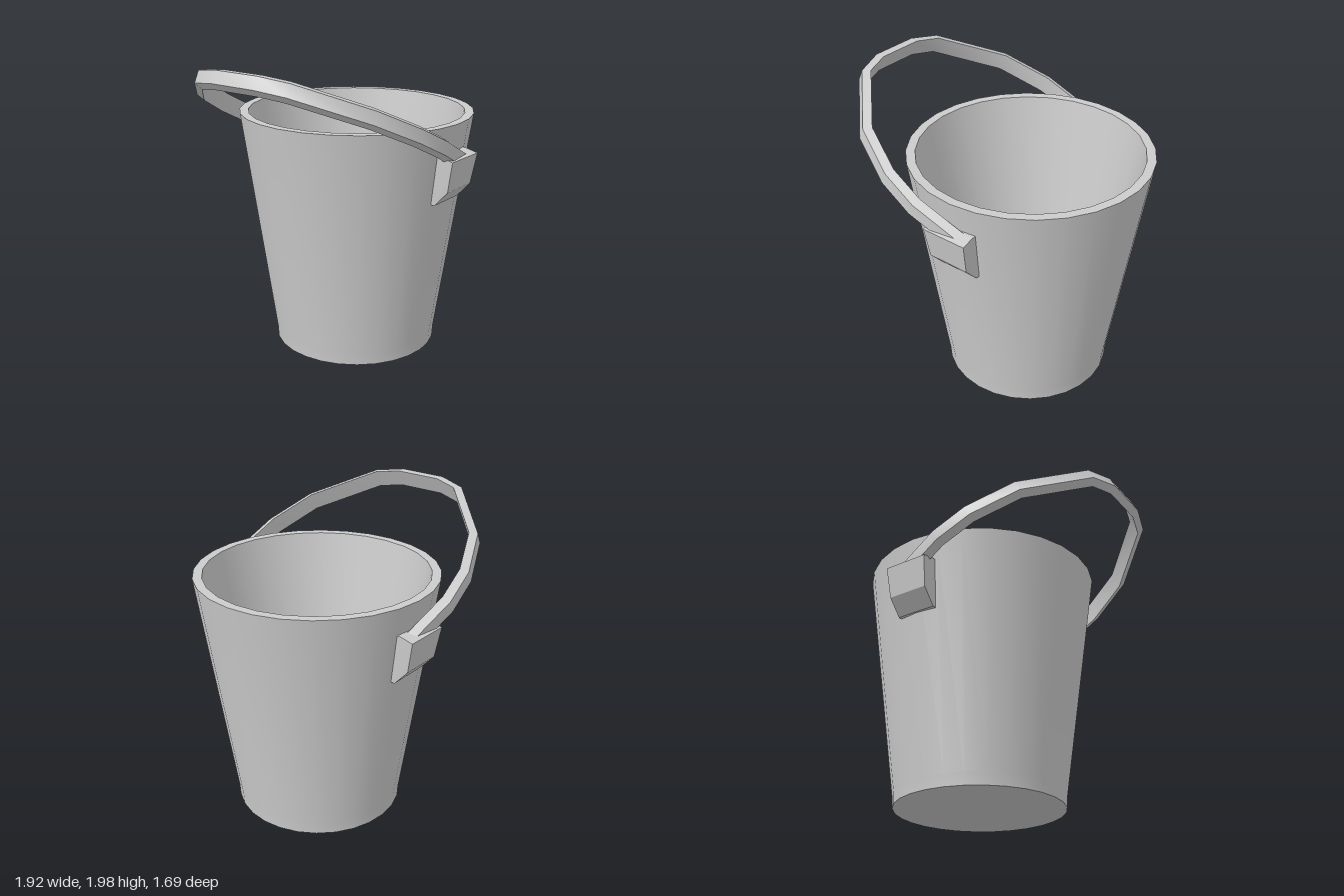
import * as THREE from 'three';
import { toCreasedNormals } from 'three/addons/utils/BufferGeometryUtils.js';

const material = new THREE.MeshStandardMaterial({ color: 0xcccccc });

function makeMesh(name, geometry, crease) {
  const mesh = new THREE.Mesh(toCreasedNormals(geometry, crease), material);
  mesh.name = name;
  return mesh;
}

// Hollow tapered body with a short straight foot, a flat rim and a floor
function bucketBody() {
  const profile = [[0, 0], [0.55, 0], [0.555, 0.08], [0.77, 1.6], [0.712, 1.6], [0.452, 0.1], [0, 0.1]];
  const points = profile.map(([r, y]) => new THREE.Vector2(r, y));
  return makeMesh('bucketBody', new THREE.LatheGeometry(points, 28), 0.6);
}

// Wedge-bottomed block that holds one end of the handle, narrowing downwards
function handleMount(name) {
  const shape = new THREE.Shape(
    [[0.68, 1.42], [0.65, 1.1], [0.71, 1.1], [0.8, 1.2], [0.835, 1.4], [0.75, 1.42]]
      .map(([z, y]) => new THREE.Vector2(z, y)));
  const geometry = new THREE.ExtrudeGeometry(shape, { depth: 0.3, bevelEnabled: false });
  geometry.translate(0, 0, -0.15).rotateY(-Math.PI / 2);
  const pos = geometry.attributes.position;
  for (let i = 0; i < pos.count; i++) {
    if (pos.getY(i) < 1.3) pos.setX(i, pos.getX(i) * 0.91);
  }
  return makeMesh(name, geometry, 0.2);
}

// Flat band swept along a tilted arch; its outer edges are chamfered
function handle() {
  const slope = 0.49;
  const stretch = Math.hypot(1, slope);
  const half = [[0.27, 0.77], [-0.05, 0.815], [-0.27, 0.79], [-0.55, 0.67], [-0.875, 0.335], [-0.925, 0.16]];
  const path = [...half, ...half.slice().reverse().map(([x, z]) => [x, -z])]
    .map(([x, z]) => new THREE.Vector2(x * stretch, z));
  // [outward, across] corners of the band
  const section = [[0.028, 0.04], [0.028, -0.04], [-0.025, -0.062], [-0.025, 0.062]];
  const positions = [];
  const index = [];
  path.forEach((p, i) => {
    const before = path[Math.max(i - 1, 0)];
    const after = path[Math.min(i + 1, path.length - 1)];
    const t = after.clone().sub(before).normalize();
    for (const [out, across] of section) {
      const d = p.x + t.y * out;
      const z = p.y - t.x * out;
      const x = d / stretch + across * slope / stretch;
      const y = 1.935 - slope * (d / stretch + 0.925) + across / stretch;
      positions.push(x, y, z);
    }
    if (i === path.length - 1) return;
    for (let k = 0; k < 4; k++) {
      const a = i * 4 + k;
      const b = i * 4 + (k + 1) % 4;
      index.push(b, a, a + 4, b, a + 4, b + 4);
    }
  });
  // End caps
  const e = (path.length - 1) * 4;
  index.push(0, 1, 2, 0, 2, 3, e, e + 2, e + 1, e, e + 3, e + 2);
  const geometry = new THREE.BufferGeometry();
  geometry.setAttribute('position', new THREE.Float32BufferAttribute(positions, 3));
  geometry.setIndex(index);
  return makeMesh('handle', geometry, 0.6);
}

export function createModel() {
  const model = new THREE.Group();
  model.name = 'bucket';

  const body = new THREE.Group();
  body.name = 'bucketWithMounts';
  body.position.x = 0.184;
  const backMount = handleMount('backMount');
  backMount.rotation.y = Math.PI;
  body.add(bucketBody(), handleMount('frontMount'), backMount);

  model.add(body, handle());
  return model;
}
